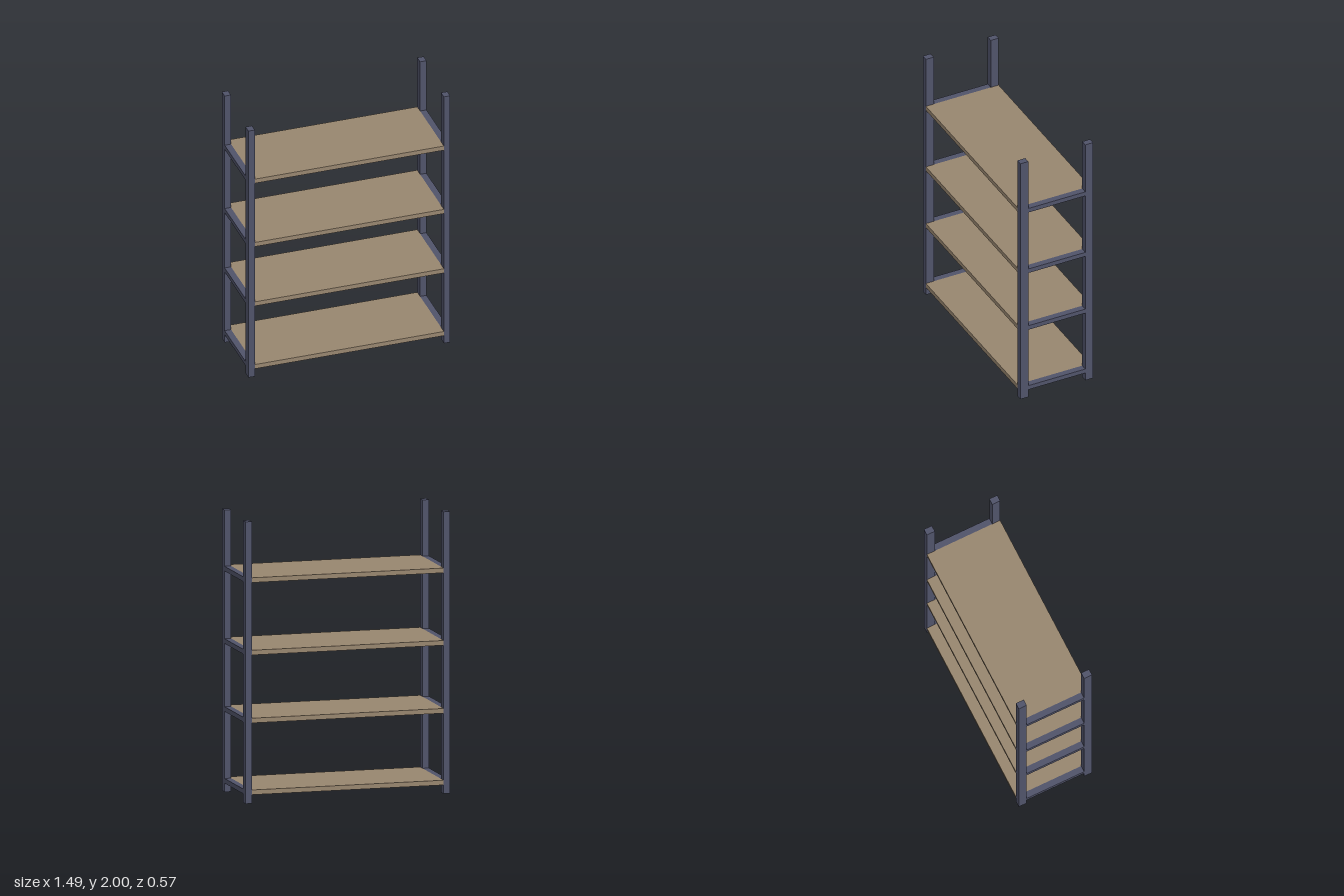
import * as THREE from 'three';

export function createModel() {
  const model = new THREE.Group();
  model.name = 'shelvingUnit';
  const metal = new THREE.MeshStandardMaterial({ color: 0x50536a });
  const wood = new THREE.MeshStandardMaterial({ color: 0x98866f });

  const halfWidth = 0.746, halfDepth = 0.286, height = 2;
  const postWidth = 0.047, postDepth = 0.062, boardThickness = 0.034;
  const postX = halfWidth - postWidth / 2;
  const postZ = halfDepth - postDepth / 2;

  function addBox(name, material, size, position) {
    const mesh = new THREE.Mesh(new THREE.BoxGeometry(...size), material);
    mesh.name = name;
    mesh.position.set(...position);
    model.add(mesh);
  }

  // Four corner posts
  for (const [side, sx] of [['Left', 1], ['Right', -1]]) {
    for (const [end, sz] of [['front', 1], ['back', -1]]) {
      addBox(`${end}${side}Post`, metal, [postWidth, height, postDepth],
        [sx * postX, height / 2, sz * postZ]);
    }
  }

  // Shelf boards, each with a side rail between the posts at both ends
  [0.079, 1.07 - 0.482, 1.07, 1.584].forEach((y, i) => {
    addBox(`shelf${i + 1}`, wood,
      [2 * (halfWidth - postWidth), boardThickness, 2 * halfDepth], [0, y, 0]);
    for (const [side, sx] of [['left', 1], ['right', -1]]) {
      addBox(`${side}Rail${i + 1}`, metal,
        [postWidth, boardThickness, 2 * (halfDepth - postDepth)], [sx * postX, y, 0]);
    }
  });

  return model;
}
